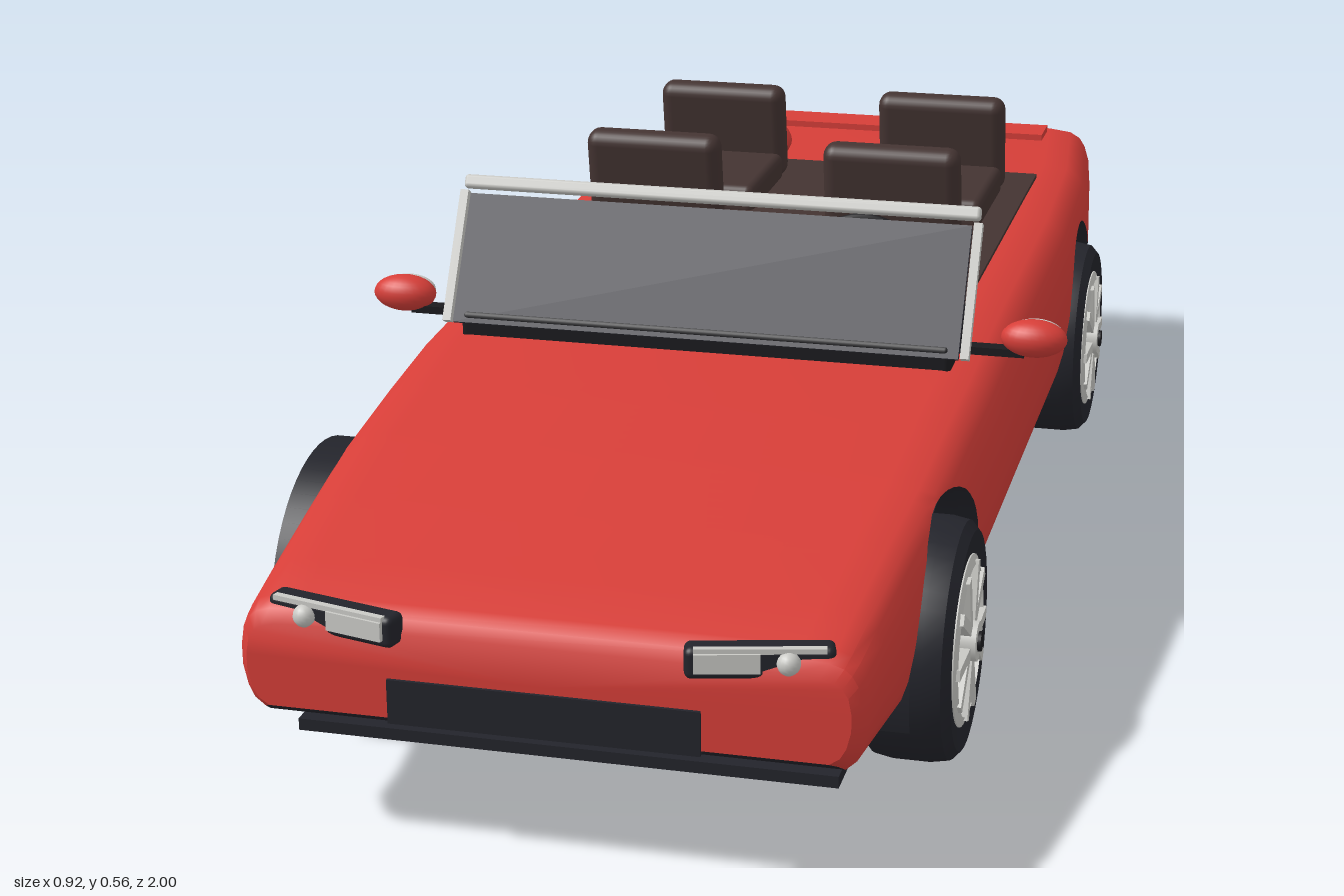
import * as THREE from 'three';
import { toCreasedNormals } from 'three/addons/utils/BufferGeometryUtils.js';
import { RoundedBoxGeometry } from 'three/addons/geometries/RoundedBoxGeometry.js';

const mat = (name, color, side = THREE.FrontSide) => {
  const m = new THREE.MeshStandardMaterial({ color, side });
  m.name = name;
  return m;
};
const red = mat('red paint', 0xd63e38);
const brown = mat('brown leather', 0x443432);
const dark = mat('dark rubber', 0x23242b, THREE.DoubleSide);
const black = mat('black trim', 0x1b1b1e);
const glass = mat('tinted glass', 0x31323c);
const silver = mat('silver metal', 0xc9c9c5);

const FRONT_AXLE = 0.59, REAR_AXLE = -0.56, AXLE_Y = 0.145, ARCH = 0.178;

function add(parent, name, geometry, material, x = 0, y = 0, z = 0, rx = 0, ry = 0, rz = 0) {
  const m = new THREE.Mesh(geometry, material);
  m.name = name;
  m.position.set(x, y, z);
  m.rotation.set(rx, ry, rz);
  parent.add(m);
  return m;
}
const box = (w, h, d) => new THREE.BoxGeometry(w, h, d);
const soft = (w, h, d, r) => new RoundedBoxGeometry(w, h, d, 3, r);
const tube = (r, l, n = 20) => new THREE.CylinderGeometry(r, r, l, n);

// linear lookup in a table of [key, value] pairs
function lookup(table, k) {
  if (k <= table[0][0]) return table[0][1];
  for (let i = 1; i < table.length; i++) {
    const [k0, v0] = table[i - 1], [k1, v1] = table[i];
    if (k <= k1) return v0 + (v1 - v0) * (k - k0) / (k1 - k0);
  }
  return table[table.length - 1][1];
}

// Body shell: cross-sections along z, with the underside raised over the wheels
const TOP = [[-0.96, 0.362], [-0.945, 0.372], [-0.9, 0.376], [-0.5, 0.38], [0, 0.38], [0.15, 0.377], [0.3, 0.37],
  [0.45, 0.358], [0.6, 0.342], [0.75, 0.321], [0.88, 0.3], [0.95, 0.287], [0.97, 0.279], [0.98, 0.265]];
const WIDTH = [[-0.96, 0.333], [-0.945, 0.343], [-0.7, 0.372], [-0.4, 0.384], [0.3, 0.386], [0.6, 0.377],
  [0.95, 0.35], [0.97, 0.346], [0.98, 0.337]];
const BASE = [[-0.96, 0.155], [-0.94, 0.143], [-0.74, 0.125], [0.42, 0.13], [0.76, 0.13], [0.95, 0.146], [0.98, 0.165]];
const SIDE = [[0, 0.93], [0.08, 0.965], [0.2, 0.985], [0.4, 1], [0.6, 1], [0.78, 0.99], [0.88, 0.97],
  [0.94, 0.945], [0.98, 0.9], [1, 0.8]];

function bodyGeometry() {
  const zs = [...TOP, ...WIDTH, ...BASE].map((p) => p[0]).concat([-0.2, 0.2]);
  for (const c of [FRONT_AXLE, REAR_AXLE]) {
    for (let i = 0; i <= 24; i++) zs.push(c - ARCH * Math.cos(Math.PI * i / 24));
    zs.push(c - ARCH - 0.0005, c + ARCH + 0.0005);
  }
  const stations = [...new Set(zs)].sort((a, b) => a - b);
  const pos = [], paint = [], under = [];
  const n = SIDE.length * 2;
  for (const z of stations) {
    const top = lookup(TOP, z), w = lookup(WIDTH, z), base = lookup(BASE, z);
    let floor = base;
    for (const c of [FRONT_AXLE, REAR_AXLE]) {
      const q = ARCH * ARCH - (z - c) ** 2;
      if (q >= 0) floor = Math.max(floor, AXLE_Y + Math.sqrt(q));
    }
    const half = SIDE.map(([t]) => {
      const y = Math.max(base + t * (top - base), floor);
      return [w * lookup(SIDE, (y - base) / (top - base)), y];
    });
    for (const [x, y] of half) pos.push(x, y, z);
    for (const [x, y] of half.reverse()) pos.push(-x, y, z);
  }
  for (let i = 0; i < stations.length - 1; i++) {
    for (let j = 0; j < n; j++) {
      const k = (j + 1) % n, a = i * n + j, b = i * n + k;
      (j === n - 1 ? under : paint).push(a, b, b + n, a, b + n, a + n);
    }
  }
  // end caps
  const last = (stations.length - 1) * n, mid = pos.length / 3;
  pos.push(0, 0.25, stations[0], 0, 0.22, stations[stations.length - 1]);
  for (let j = 0; j < n; j++) {
    const k = (j + 1) % n;
    paint.push(mid, k, j, mid + 1, last + j, last + k);
  }
  const g = new THREE.BufferGeometry();
  g.setAttribute('position', new THREE.Float32BufferAttribute(pos, 3));
  g.setIndex([...paint, ...under]);
  g.addGroup(0, paint.length, 0);
  g.addGroup(paint.length, under.length, 1);
  return toCreasedNormals(g, 0.7);
}

const lathe = (pts) => toCreasedNormals(
  new THREE.LatheGeometry(pts.map(([r, h]) => new THREE.Vector2(r, h)), 40), 0.6);
const tyreGeo = lathe([[0.1, -0.05], [0.13, -0.054], [0.141, -0.044], [0.145, -0.022], [0.145, 0.022],
  [0.141, 0.044], [0.13, 0.054], [0.1, 0.05], [0.1, -0.05]]);
const rimGeo = lathe([[0.09, -0.045], [0.101, -0.045], [0.102, 0.052], [0.09, 0.056], [0.09, -0.045]]);

// Wheel: local y points outward
function makeWheel(side, z) {
  const g = new THREE.Group();
  g.name = 'wheel';
  add(g, 'tyre', tyreGeo, dark);
  add(g, 'rim', rimGeo, silver);
  add(g, 'brakeDisc', tube(0.072, 0.012, 32), silver, 0, -0.005);
  add(g, 'hub', tube(0.024, 0.07), silver, 0, 0.03);
  add(g, 'hubCap', tube(0.012, 0.006), black, 0, 0.066);
  for (let i = 0; i < 5; i++) {
    for (const s of [-1, 1]) {
      const a = i * Math.PI * 0.4 + s * 0.22;
      add(g, 'spoke', box(0.08, 0.018, 0.014), silver, Math.cos(a) * 0.055, 0.05, -Math.sin(a) * 0.055, 0, a + s * 0.15);
    }
  }
  g.position.set(side * 0.345, AXLE_Y, z);
  g.rotation.z = -side * Math.PI / 2;
  return g;
}

function makeSeat(x, z, length, height) {
  const g = new THREE.Group();
  g.name = 'seat';
  add(g, 'cushion', soft(0.185, 0.045, length, 0.012), brown, 0, 0.398, length / 2);
  add(g, 'backrest', soft(0.19, height, 0.042, 0.018), brown, 0, 0.38 + height / 2, -0.005, 0.16);
  g.position.set(x, 0, z);
  return g;
}

export function createModel() {
  const car = new THREE.Group();
  car.name = 'convertible';
  add(car, 'body', bodyGeometry(), [red, dark]);
  add(car, 'floorPan', box(0.72, 0.025, 0.8), black, 0, 0.129, 0.015);
  add(car, 'cabinFloor', box(0.6, 0.016, 0.71), brown, 0, 0.377, -0.255);
  add(car, 'dashboard', soft(0.64, 0.04, 0.19, 0.008), black, 0, 0.381, 0.195);
  add(car, 'frontSplitter', box(0.62, 0.014, 0.09), dark, 0, 0.109, 0.865);
  add(car, 'splitterMount', box(0.5, 0.03, 0.03), dark, 0, 0.126, 0.85);
  add(car, 'rearDiffuser', box(0.62, 0.018, 0.11), dark, 0, 0.111, -0.865);
  add(car, 'diffuserMount', box(0.5, 0.03, 0.03), dark, 0, 0.127, -0.85);
  add(car, 'grille', box(0.35, 0.052, 0.02), dark, 0, 0.186, 0.974);
  add(car, 'bootStrip', box(0.55, 0.012, 0.065), red, 0, 0.38, -0.877);
  add(car, 'numberPlate', box(0.18, 0.055, 0.008), silver, 0, 0.21, -0.963);
  add(car, 'exhaustPipe', tube(0.017, 0.1), silver, 0.2, 0.145, -0.94, Math.PI / 2);
  add(car, 'exhaustTip', tube(0.022, 0.035), silver, 0.2, 0.145, -0.982, Math.PI / 2);
  add(car, 'exhaustOpening', tube(0.016, 0.004), black, 0.2, 0.145, -0.999, Math.PI / 2);

  // Windscreen, leaning back
  const screen = new THREE.Group();
  screen.name = 'windscreen';
  add(screen, 'windscreenGlass', box(0.66, 0.172, 0.006), glass, 0, 0.085);
  add(screen, 'topRail', soft(0.68, 0.018, 0.014, 0.005), silver, 0, 0.187);
  for (const s of [-1, 1]) add(screen, 'pillar', box(0.011, 0.175, 0.012), silver, s * 0.338, 0.087);
  screen.position.set(0, 0.387, 0.29);
  screen.rotation.x = -0.53;
  car.add(screen);

  // Steering wheel
  const steering = new THREE.Group();
  steering.name = 'steeringWheel';
  add(steering, 'steeringRim', new THREE.TorusGeometry(0.085, 0.008, 8, 32), black);
  for (const a of [0, 2.1, 4.2]) {
    add(steering, 'steeringSpoke', box(0.012, 0.085, 0.008), black, -Math.sin(a) * 0.042, Math.cos(a) * 0.042, 0, 0, 0, a);
  }
  steering.position.set(0.165, 0.41, 0.082);
  steering.rotation.x = -0.22;
  car.add(steering);

  // Wheel arch liners, running across the car
  for (const z of [FRONT_AXLE, REAR_AXLE]) {
    const liner = new THREE.CylinderGeometry(0.176, 0.176, 0.76, 32, 1, true, -0.25, Math.PI + 0.5);
    liner.rotateZ(Math.PI / 2);
    add(car, 'archLiner', liner, dark, -0.02, AXLE_Y, z);
  }

  for (const s of [-1, 1]) {
    car.add(makeWheel(s, FRONT_AXLE), makeWheel(s, REAR_AXLE));
    add(car, 'brakeCaliper', box(0.04, 0.05, 0.026), red, s * 0.345, 0.19, FRONT_AXLE - 0.05, 0.8);
    add(car, 'brakeCaliper', box(0.04, 0.05, 0.026), red, s * 0.345, 0.19, REAR_AXLE + 0.05, -0.8);
    car.add(makeSeat(s * 0.168, -0.115, 0.2, 0.17), makeSeat(s * 0.168, -0.515, 0.205, 0.145));

    const fairing = new THREE.SphereGeometry(0.083, 32, 20);
    fairing.scale(1, 0.5, 0.9);
    add(car, 'headFairing', fairing, red, s * 0.165, 0.416, -0.595);

    // Door mirror
    const shell = new THREE.SphereGeometry(0.042, 24, 16);
    shell.scale(1, 0.57, 0.62);
    add(car, 'mirrorShell', shell, red, s * 0.416, 0.402, 0.232);
    const face = new THREE.CylinderGeometry(0.034, 0.034, 0.006, 24);
    face.scale(1, 1, 0.55);
    add(car, 'mirrorGlass', face, silver, s * 0.416, 0.402, 0.211, Math.PI / 2);
    add(car, 'mirrorArm', box(0.1, 0.01, 0.02), black, s * 0.355, 0.383, 0.232);

    // Headlamp
    const lamp = new THREE.Group();
    lamp.name = 'headlamp';
    add(lamp, 'lampHousing', soft(0.16, 0.036, 0.03, 0.008), dark);
    add(lamp, 'lampLens', box(0.07, 0.022, 0.012), silver, -s * 0.035, 0.003, 0.014);
    add(lamp, 'lampBulb', new THREE.SphereGeometry(0.013, 16, 12), silver, s * 0.03, 0.002, 0.016);
    add(lamp, 'lampStrip', box(0.14, 0.006, 0.008), silver, 0, 0.016, 0.013);
    lamp.position.set(s * 0.236, 0.272, 0.966);
    lamp.rotation.y = s * 0.24;
    car.add(lamp);

    // Tail lamp
    add(car, 'tailHousing', box(0.12, 0.045, 0.016), dark, s * 0.19, 0.315, -0.96);
    add(car, 'tailLens', box(0.085, 0.024, 0.008), red, s * 0.195, 0.315, -0.967);
  }
  return car;
}
